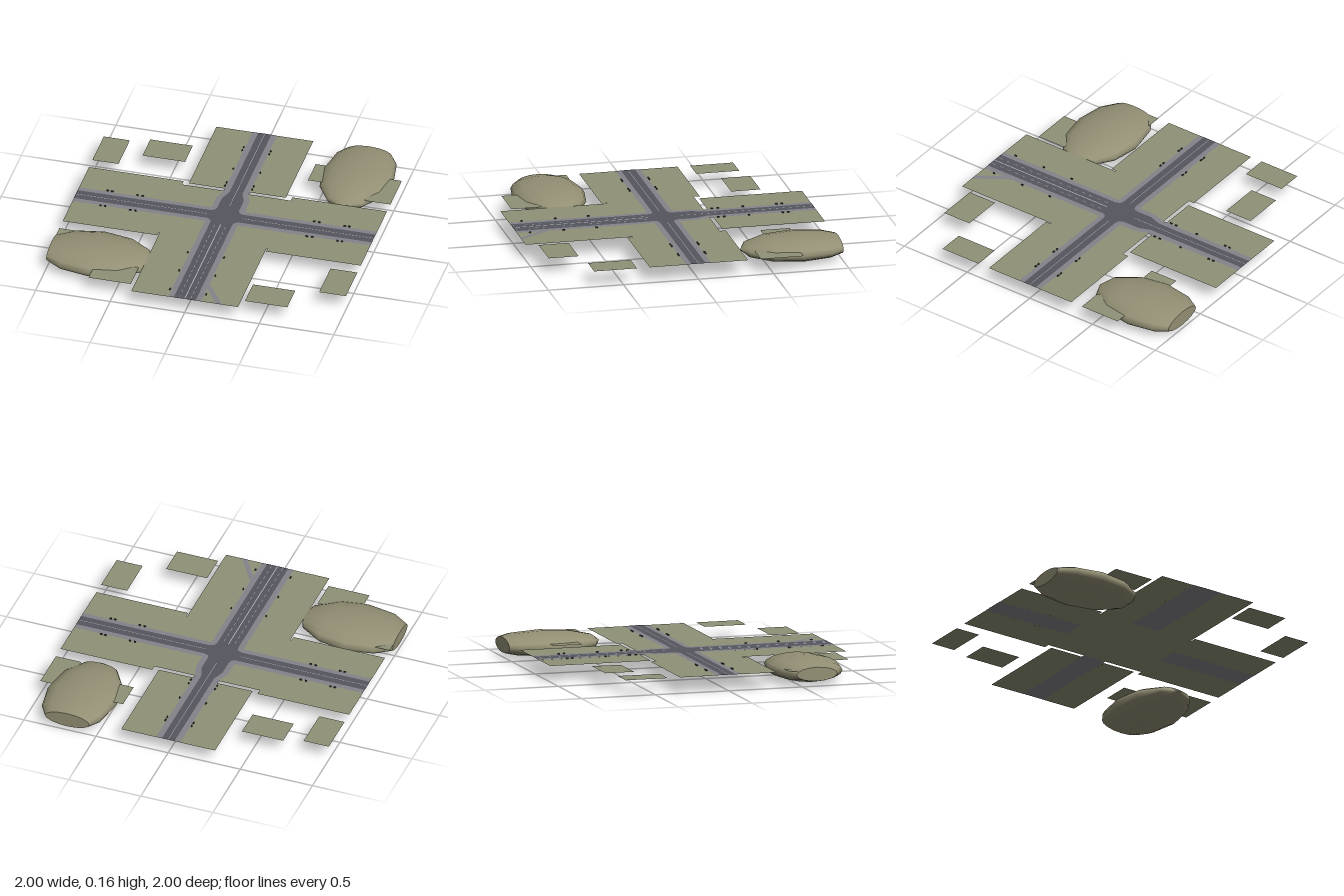
import * as THREE from 'three';

const mat = (color) => new THREE.MeshStandardMaterial({ color, side: THREE.DoubleSide });
const grass = mat(0x8f9176), pavement = mat(0x84838a), asphalt = mat(0x55565e);
const paint = mat(0xb4b4b8), dark = mat(0x33343a), hillMat = mat(0x949075);

export function createModel() {
  const root = new THREE.Group();

  const add = (name, geometry, material) => {
    const mesh = new THREE.Mesh(geometry, material);
    mesh.name = name;
    root.add(mesh);
    return mesh;
  };
  // Flat sheet facing up, outlined by [x, z] points
  const sheet = (name, points, y, material) => {
    const shape = new THREE.Shape(points.map(([x, z]) => new THREE.Vector2(x, -z)));
    return add(name, new THREE.ShapeGeometry(shape).rotateX(-Math.PI / 2).translate(0, y, 0), material);
  };
  const rect = (name, x0, x1, z0, z1, y, material) =>
    sheet(name, [[x0, z0], [x1, z0], [x1, z1], [x0, z1]], y, material);

  // Grass: the crossing tile, then each arm as two verges beside the road
  const Y = 0.106;
  rect('centreGrass', -0.365, 0.365, -0.29, 0.29, Y, grass);
  for (const s of [-1, 1]) {
    rect('northVerge', s * 0.08, s * 0.325, -1, -0.315, Y, grass);
    rect('southVerge', s * 0.105, s * 0.358, 0.28, 1, Y, grass);
    rect('sideVergeBack', s * 0.365, s, -0.33, -0.08, Y, grass);
    rect('sideVergeFront', s * 0.365, s, 0.08, 0.325, Y, grass);
    // Detached lawns in the four corners
    const [a, b] = s < 0 ? [-0.7, -0.415] : [0.41, 0.695];
    rect('backLawn', a, b, -0.745, -0.55, Y, grass);
    rect('backOuterLawn', s * 0.825, s, -0.7, -0.415, Y, grass);
    rect('frontLawn', s * 0.383, s * 0.667, 0.72, 0.92, Y, grass);
    rect('frontOuterLawn', s * 0.82, s, 0.41, 0.695, Y, grass);
  }

  // Pavement and carriageway: right half outlines mirrored to the left
  const mirrored = (half) => [...half, ...half.map(([x, z]) => [-x, z]).reverse()];
  sheet('pavement', mirrored([
    [0.083, -1], [0.083, -0.28], [0.112, -0.2], [0.112, -0.083], [1, -0.083],
    [1, 0.083], [0.11, 0.083], [0.11, 1],
  ]), Y + 0.001, pavement);
  sheet('carriageway', mirrored([
    [0.044, -1], [0.044, -0.28], [0.073, -0.2], [0.073, -0.085], [0.083, -0.058], [0.11, -0.047],
    [1, -0.047], [1, 0.047], [0.11, 0.047], [0.083, 0.058], [0.073, 0.085], [0.073, 1],
  ]), Y + 0.002, asphalt);
  sheet('footpath', [[0.11, 0.785], [0.25, 1], [0.21, 1], [0.11, 0.845]], Y + 0.001, pavement);

  // Lane markings
  const M = Y + 0.003;
  rect('southCentreLine', -0.003, 0.003, 0.1, 1, M, paint);
  rect('northCentreLine', -0.0015, 0.0015, -1, -0.12, M, paint);
  for (const s of [-1, 1]) {
    rect('sideCentreLine', s * 0.12, s, -0.0015, 0.0015, M, paint);
    for (let z = 0.12; z < 0.98; z += 0.06)
      rect('laneDash', s * 0.038 - 0.0015, s * 0.038 + 0.0015, z, z + 0.03, M, paint);
  }

  // Small dark street fittings along the verges
  const fitting = (x, z, alongX) =>
    add('streetFitting', new THREE.BoxGeometry(alongX ? 0.014 : 0.007, 0.008, alongX ? 0.007 : 0.014)
      .translate(x, Y + 0.004, z), dark);
  for (const s of [-1, 1]) {
    for (const z of [-0.81, -0.775, -0.55, -0.385, -0.345]) fitting(s * 0.091, z, false);
    for (const z of [0.47, 0.69, 0.915]) fitting(s * 0.121, z, false);
    for (const x of [0.575, 0.61, 0.78, 0.81])
      for (const z of [-0.091, 0.088]) fitting(s * x, z, true);
  }

  // Low ellipsoid mounds, turned about their long axis and cut flat at the site edge
  const mound = (name, cut) => {
    const profile = [];
    for (let i = 0; i <= 4; i++) {
      const a = (i * Math.PI) / 6;
      profile.push(new THREE.Vector2(Math.sin(a), 0.38 * Math.cos(a)));
    }
    // shorten the last facet to end exactly on the cut plane
    const [p, q] = [profile[4], new THREE.Vector2(0.5, -0.38 * Math.cos(Math.PI / 6))];
    profile.push(p.clone().lerp(q, (p.y + cut) / (p.y - q.y)));
    profile.reverse();
    const group = new THREE.Group();
    group.name = name;
    const body = new THREE.Mesh(new THREE.LatheGeometry(profile, 16), hillMat);
    body.name = name + 'Body';
    const cap = new THREE.Mesh(new THREE.CircleGeometry(profile[0].x, 16).rotateX(Math.PI / 2).translate(0, -cut, 0), hillMat);
    cap.name = name + 'CutEnd';
    group.add(body, cap);
    root.add(group);
    return group;
  };
  // long axis along x, tip towards the crossing
  const west = mound('westMound', 0.3);
  west.scale.set(0.079, 1, 0.24);
  west.rotation.z = -Math.PI / 2;
  west.position.set(-0.7, 0.08, 0.6);
  // long axis along z
  const north = mound('northMound', 0.275);
  north.scale.set(0.24, 1, 0.079);
  north.rotation.x = Math.PI / 2;
  north.position.set(0.7, 0.08, -0.725);

  return root;
}
